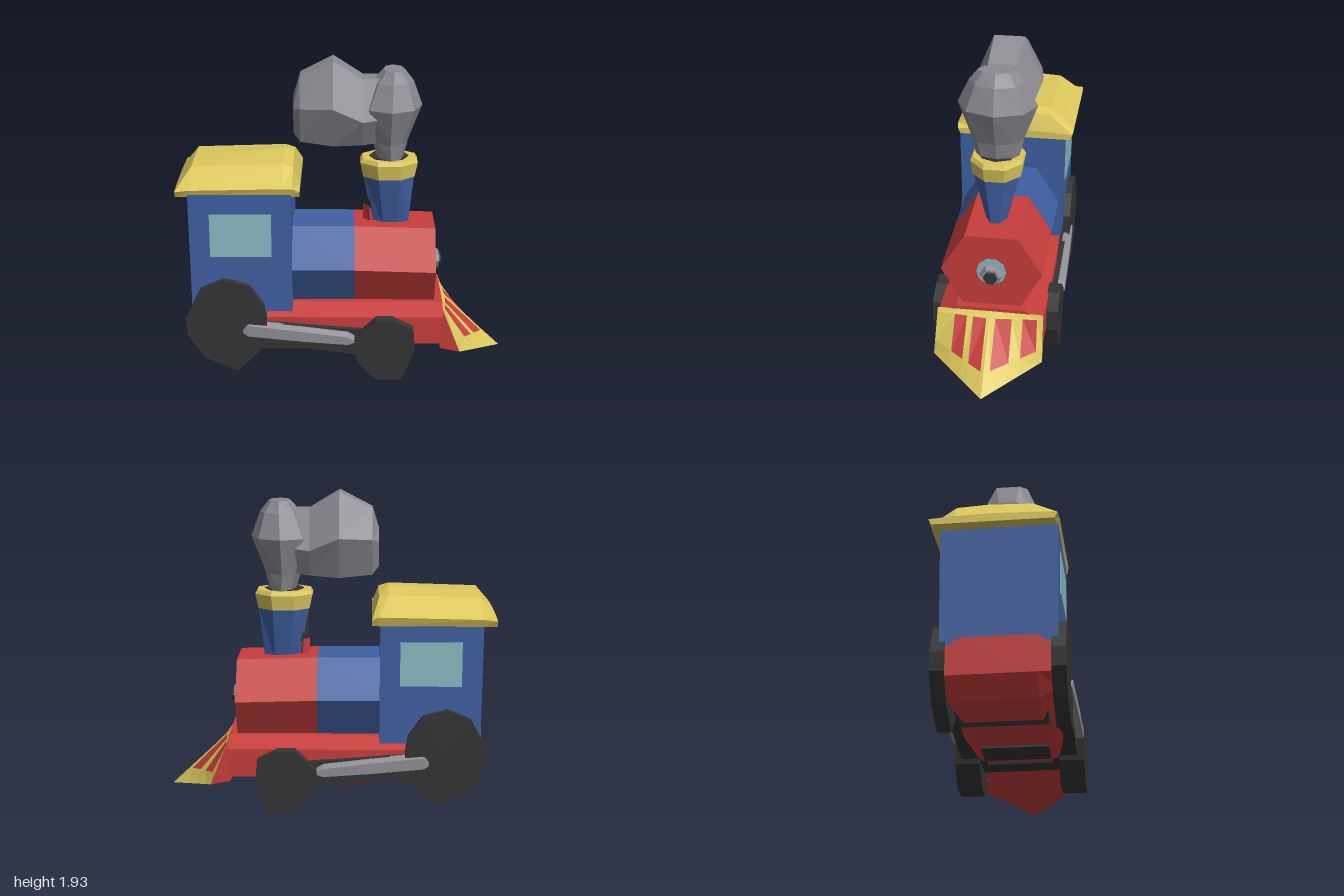
import * as THREE from 'three';

const mat = (name, color) => {
  const m = new THREE.MeshStandardMaterial({ color, flatShading: true });
  m.name = name;
  return m;
};

// Flat-faced geometry from a list of triangles
function fromTriangles(tris) {
  const g = new THREE.BufferGeometry();
  g.setAttribute('position', new THREE.Float32BufferAttribute(tris.flat(2), 3));
  g.computeVertexNormals();
  return g;
}

// Closed solid through rings of equal point count, turned outwards by its signed volume
function loft(rings) {
  const tris = [], n = rings[0].length;
  const centre = r => [0, 1, 2].map(k => r.reduce((s, p) => s + p[k], 0) / n);
  const first = rings[0], last = rings[rings.length - 1];
  const c0 = centre(first), c1 = centre(last);
  for (let j = 0; j < n; j++) {
    const k = (j + 1) % n;
    for (let i = 0; i + 1 < rings.length; i++) {
      const a = rings[i], b = rings[i + 1];
      tris.push([a[j], a[k], b[k]], [a[j], b[k], b[j]]);
    }
    tris.push([c0, first[k], first[j]], [c1, last[j], last[k]]);
  }
  const v = p => new THREE.Vector3(...p);
  const volume = tris.reduce((s, [a, b, c]) => s + v(a).dot(v(b).cross(v(c))), 0);
  return fromTriangles(volume < 0 ? tris.map(([a, b, c]) => [a, c, b]) : tris);
}

// Ellipse ring lying flat at height y; phase 0 puts a corner on the x axis
const flatRing = (y, cx, rx, rz, n = 8, phase = 0.5) => Array.from({ length: n }, (_, i) => {
  const a = (i + phase) / n * Math.PI * 2;
  return [cx + rx * Math.cos(a), y, rz * Math.sin(a)];
});

export function createModel() {
  const model = new THREE.Group();
  model.name = 'steamTrain';
  const blue = mat('blue paint', 0x3f60a2), red = mat('red paint', 0xc63d3c);
  const yellow = mat('yellow paint', 0xdcc85d), black = mat('wheel black', 0x343434);
  const grey = mat('rod grey', 0x8f8e95), glass = mat('window blue', 0x8bb9c1);
  const smokeGrey = mat('smoke grey', 0x8b8a91);
  const add = (name, geometry, material, x = 0, y = 0, z = 0) => {
    const m = new THREE.Mesh(geometry, material);
    m.name = name;
    m.position.set(x, y, z);
    model.add(m);
    return m;
  };

  // Chassis with a chamfered top, a rounded tail and a sagging belly
  const chassisRing = ([x, w, low, top = 0.445]) => [
    [x, low, w * 0.7], [x, Math.max(low, 0.21), w], [x, top - 0.06, w], [x, top, w * 0.65],
    [x, top, -w * 0.65], [x, top - 0.06, -w], [x, Math.max(low, 0.21), -w], [x, low, -w * 0.7]];
  add('chassis', loft([[-0.93, 0.31, 0.27, 0.49], [-0.84, 0.31, 0.15], [-0.68, 0.31, 0.09], [-0.4, 0.31, 0.17],
    [-0.15, 0.32, 0.13], [0.05, 0.32, 0.135], [0.3, 0.32, 0.17], [0.615, 0.32, 0.18]].map(chassisRing)), red);

  // Cab
  const cabRing = (y, x0, x1, z) => [[x0, y, z], [x1, y, z], [x1, y, -z], [x0, y, -z]];
  add('cab', loft([cabRing(0.43, -0.92, -0.31, 0.325), cabRing(1.18, -0.925, -0.31, 0.335)]), blue);

  // Roof with a domed section and sloping ends, sitting a little to the right
  const roofRing = ([x, eave, w, shoulder, top]) => [
    [x, 1.165, w * 0.95 - 0.025], [x, eave, w - 0.025], [x, shoulder, w * 0.58 - 0.02],
    [x, top, -0.06], [x, shoulder, -w * 0.58 - 0.03], [x, eave, -w - 0.025], [x, 1.165, -w * 0.95 - 0.025]];
  add('roof', loft([[-1, 1.2, 0.365, 1.21, 1.215], [-0.91, 1.21, 0.37, 1.315, 1.325],
    [-0.36, 1.22, 0.37, 1.33, 1.36], [-0.3, 1.22, 0.37, 1.31, 1.33],
    [-0.26, 1.2, 0.365, 1.21, 1.215]].map(roofRing)), yellow);

  // Six-sided boiler in two colours
  const boilerRing = x => [[0.16, 0.925], [0.305, 0.69], [0.16, 0.43], [-0.16, 0.43], [-0.305, 0.69], [-0.16, 0.925]]
    .map(([z, y]) => [x, y - (x > 0 ? x * 0.03 : 0), z]);
  add('boilerRear', loft([boilerRing(-0.33), boilerRing(0.07)]), blue);
  add('boilerFront', loft([boilerRing(0.07), boilerRing(0.565)]), red);

  // Headlamp
  const alongX = (r0, r1, h, n) => new THREE.CylinderGeometry(r0, r1, h, n).rotateZ(-Math.PI / 2);
  add('lampGlass', alongX(0.09, 0.09, 0.008, 10), glass, 0.567, 0.675);
  add('lampRim', alongX(0.055, 0.075, 0.035, 6), grey, 0.582, 0.655);
  add('lampCore', alongX(0.04, 0.05, 0.025, 6), black, 0.6, 0.65);

  // Chimney, its yellow lip and the scorched foot behind it
  add('chimney', loft([flatRing(0.88, 0.295, 0.115, 0.06), flatRing(1.22, 0.28, 0.168, 0.15)]), blue);
  add('chimneyFoot', loft([flatRing(0.88, 0.17, 0.045, 0.05, 4, 0), flatRing(1.01, 0.16, 0.035, 0.05, 4, 0)]), red);
  add('chimneySoot', loft([flatRing(1.0, 0.17, 0.035, 0.055, 4, 0), flatRing(1.17, 0.16, 0.03, 0.05, 4, 0)]), black);
  add('chimneyLip', loft([flatRing(1.21, 0.28, 0.17, 0.155), flatRing(1.3, 0.28, 0.19, 0.17),
    flatRing(1.325, 0.28, 0.175, 0.155)]), yellow);
  add('chimneyHole', new THREE.CylinderGeometry(0.12, 0.12, 0.008, 8), black, 0.28, 1.327);

  // Smoke: an upright puff and a six-sided one trailing behind it
  add('smokeFront', loft([[1.32, 0.29, 0.08, 0.13], [1.43, 0.285, 0.11, 0.155], [1.65, 0.29, 0.19, 0.235],
    [1.8, 0.3, 0.125, 0.165], [1.87, 0.305, 0.065, 0.11]].map(([y, x, rx, rz]) => flatRing(y, x, rx, rz, 8, 0))), smokeGrey);
  const puffRing = ([x, top, mid, low, rz, cz]) => [[1, mid], [0.45, top], [-0.45, top], [-1, mid], [-0.55, low], [0.55, low]]
    .map(([z, y]) => [x, y, cz + z * rz]);
  add('smokeRear', loft([[-0.3, 1.7, 1.64, 1.48, 0.12, -0.03], [-0.26, 1.83, 1.65, 1.43, 0.165, -0.03],
    [-0.06, 1.93, 1.66, 1.41, 0.205, -0.02], [0.12, 1.82, 1.58, 1.42, 0.185, 0],
    [0.27, 1.82, 1.6, 1.44, 0.16, 0]].map(puffRing)), smokeGrey);

  // Outlines of the uneven wheels and of the frame between them
  const rearWheel = [[-0.96, 0.4], [-0.86, 0.59], [-0.72, 0.65], [-0.57, 0.61], [-0.48, 0.48],
    [-0.46, 0.32], [-0.52, 0.17], [-0.65, 0.05], [-0.85, 0.14], [-0.95, 0.29]];
  const frontWheel = [[0.06, 0.26], [0.2, 0.39], [0.31, 0.39], [0.43, 0.33], [0.44, 0.2],
    [0.36, 0.0], [0.2, 0.0], [0.09, 0.12]];
  const frame = [[-0.6, 0.37], [0.2, 0.31], [0.2, 0.13], [0.02, 0.16], [-0.2, 0.19], [-0.6, 0.19]];
  const slab = (outline, ...levels) => loft(levels.map(z => outline.map(([x, y]) => [x, y, z])));
  const rodRing = ([x, top, low, z], s) => [
    [x, low, s * 0.33], [x, top, s * 0.33], [x, top, s * (z - 0.03)], [x, top - 0.02, s * z], [x, low, s * z]];
  const rod = [[-0.61, 0.345, 0.305, 0.375], [-0.58, 0.375, 0.285, 0.38], [-0.25, 0.34, 0.255, 0.39],
    [0.03, 0.305, 0.235, 0.395], [0.07, 0.28, 0.25, 0.395]];

  for (const s of [1, -1]) {
    const side = s > 0 ? 'left' : 'right';
    add(side + 'RearWheel', slab(rearWheel, s * 0.29, s * 0.37), black);
    add(side + 'FrontWheel', slab(frontWheel, s * 0.24, s * 0.39), black);
    add(side + 'SideFrame', slab(frame, s * 0.2, s * 0.35), black);
    add(side + 'CouplingRod', loft(rod.map(r => rodRing(r, s))), grey);
    add(side + 'Window', new THREE.BoxGeometry(0.37, 0.27, 0.008), glass, -0.615, 0.925, s * 0.334);
  }

  // Dark undercarriage: rear block, front block and belly plate
  const block = (outline, z) => slab(outline, z, -z);
  add('rearUndercarriage', block([[-0.74, 0.2], [-0.66, 0.07], [-0.55, 0.12], [-0.46, 0.2]], 0.25), black);
  add('frontUndercarriage', block([[0.16, 0.25], [0.18, 0.14], [0.32, 0.14], [0.36, 0.25]], 0.25), black);
  add('bellyPlate', new THREE.BoxGeometry(0.22, 0.02, 0.4), black, -0.06, 0.13);

  // Cowcatcher: ruled front faces from the top edge down to the pointed tip
  const paint = [[], []];
  const mix = (a, b, t) => a.map((p, i) => p + (b[i] - p) * t);
  const tip = [1, 0.06, 0], crest = [0.61, 0.43, 0];
  const body = [];
  const bands = { 1: [0, 0.06, 0.31, 0.43, 0.66, 1], '-1': [0, 0.11, 0.42, 0.62, 0.89, 1] };
  const rows = [0, 0.1, 0.72, 1];
  for (const s of [1, -1]) {
    const corner = [0.615, 0.425, s * 0.32], foot = [0.72, 0.16, s * 0.33], heel = [0.6, 0.18, s * 0.32];
    const at = (u, v) => mix(mix(crest, corner, u), mix(tip, foot, u), v);
    const quad = (list, a, b, c, d) => list.push(...(s > 0 ? [[a, c, b], [a, d, c]] : [[a, b, c], [a, c, d]]));
    const us = bands[s];
    for (let i = 0; i < 5; i++) {
      for (let j = 0; j < 3; j++) {
        const stripe = i % 2 === 1 && j === 1 ? 1 : 0;
        quad(paint[stripe], at(us[i], rows[j]), at(us[i + 1], rows[j]),
          at(us[i + 1], rows[j + 1]), at(us[i], rows[j + 1]));
      }
    }
    // Red cheek and underside
    body.push(s > 0 ? [corner, heel, foot] : [corner, foot, heel]);
    quad(body, tip, foot, heel, [0.6, 0.18, 0]);
  }
  add('cowcatcherFace', fromTriangles(paint[0]), yellow);
  add('cowcatcherStripes', fromTriangles(paint[1]), red);
  add('cowcatcherBody', fromTriangles(body), red);
  // Open faces are shown from both sides
  yellow.side = red.side = THREE.DoubleSide;
  return model;
}
